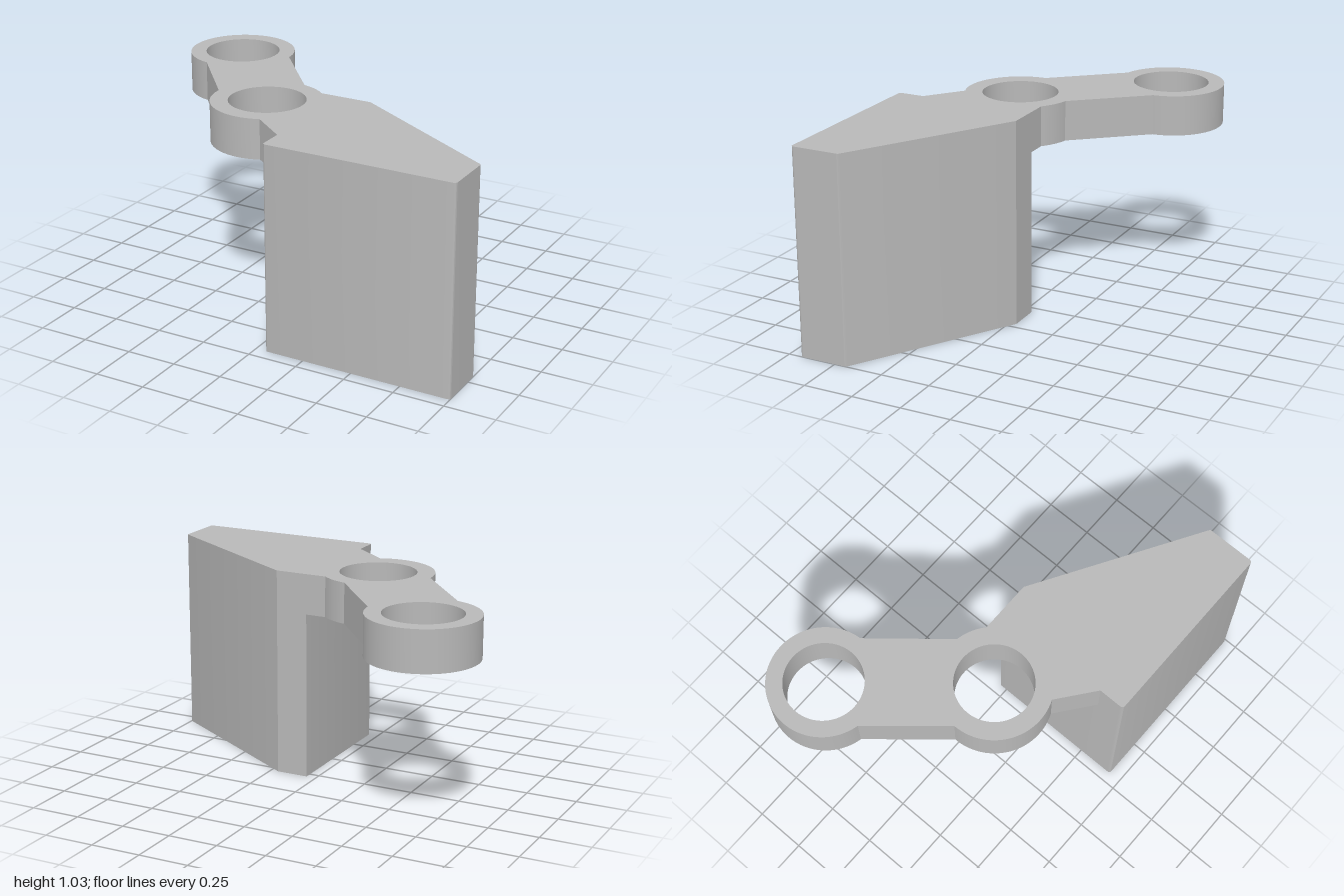
import * as THREE from 'three';
import { toCreasedNormals } from 'three/addons/utils/BufferGeometryUtils.js';

const TOP = 1.03, ARM_BOTTOM = 0.83;

// Extrude a plan outline (drawn as x, -z) between two heights
function slab(name, shape, y0, y1, material) {
  const geo = new THREE.ExtrudeGeometry(shape, { depth: y1 - y0, bevelEnabled: false, curveSegments: 48 });
  geo.rotateX(-Math.PI / 2);
  geo.translate(0, y0, 0);
  const mesh = new THREE.Mesh(toCreasedNormals(geo, 0.4), material);
  mesh.name = name;
  return mesh;
}

// Counter-clockwise arc around a ring centre, running between two plan points
function arcBetween(shape, c, r, from, to) {
  const a = Math.atan2(from[1] - c[1], from[0] - c[0]);
  const b = Math.atan2(to[1] - c[1], to[0] - c[0]);
  shape.absarc(c[0], c[1], r, a, b, false);
}

export function createModel() {
  const group = new THREE.Group();
  group.name = 'bracket';
  const grey = new THREE.MeshStandardMaterial({ color: 0xb8b8b8 });
  grey.name = 'grey';

  // Two-ring arm with connecting link and a neck into the block
  const far = [-0.735, 0.425], near = [-0.235, -0.167];
  const arm = new THREE.Shape();
  arcBetween(arm, far, 0.265, [-0.47, 0.44], [-0.79, 0.165]);
  arcBetween(arm, near, 0.273, [-0.508, -0.165], [-0.125, -0.42]);
  arm.lineTo(0.05, -0.555);
  arm.lineTo(0.05, 0.037);
  arm.lineTo(-0.05, 0.037);
  arcBetween(arm, near, 0.273, [-0.05, 0.037], [-0.185, 0.105]);
  arm.closePath();
  for (const c of [far, near]) {
    arm.holes.push(new THREE.Path().absarc(c[0], c[1], 0.187, 0, Math.PI * 2, true));
  }
  group.add(slab('ringArm', arm, ARM_BOTTOM, TOP, grey));

  // Tall wedge block with small rounded front corners
  const r = 0.015, front = -0.687;
  const block = new THREE.Shape();
  block.moveTo(0.05, 0.037);
  block.lineTo(0.05, front + r);
  block.absarc(0.05 + r, front + r, r, Math.PI, Math.PI * 1.5, false);
  block.absarc(1 - r, front + r, r, -Math.PI / 2, 0, false);
  block.lineTo(1, -0.447);
  block.quadraticCurveTo(1, -0.439, 0.993, -0.435);
  block.lineTo(0.21, 0.037);
  block.closePath();
  group.add(slab('wedgeBlock', block, 0, TOP, grey));

  return group;
}
